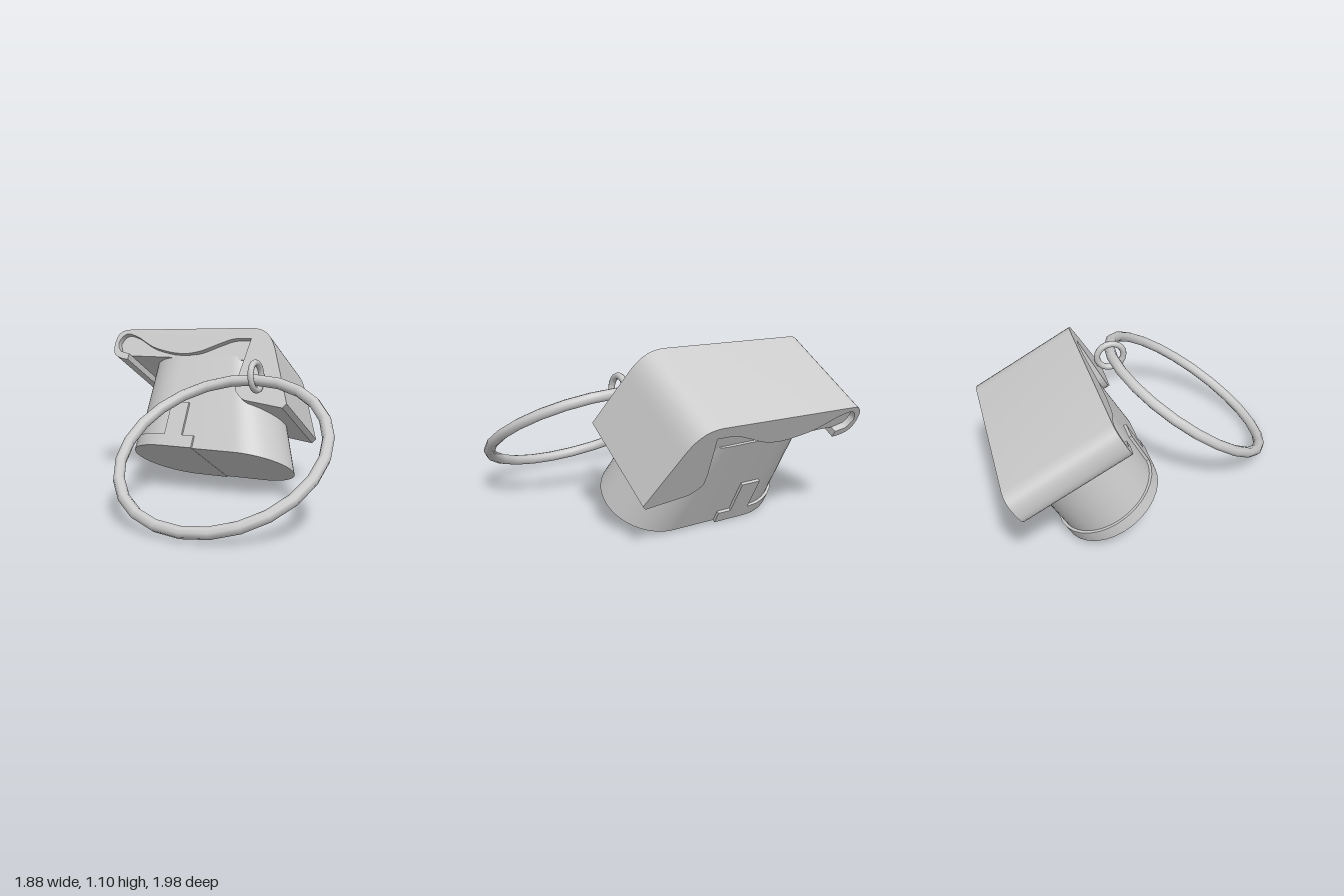
import * as THREE from 'three';
import { toCreasedNormals } from 'three/addons/utils/BufferGeometryUtils.js';

const material = new THREE.MeshStandardMaterial({ color: 0xcccccc });

function addMesh(parent, name, geometry) {
  const mesh = new THREE.Mesh(geometry, material);
  mesh.name = name;
  parent.add(mesh);
  return mesh;
}

// Extrude a front profile (x, y) between two depths
function extrudeZ(shape, z0, z1, segments = 8) {
  const g = new THREE.ExtrudeGeometry(shape, { depth: z1 - z0, bevelEnabled: false, curveSegments: segments });
  return toCreasedNormals(g.translate(0, 0, z0), 0.7);
}

// Extrude a plan outline upwards
function extrudeUp(shape, y0, y1, segments) {
  const g = new THREE.ExtrudeGeometry(shape, { depth: y1 - y0, bevelEnabled: false, curveSegments: segments });
  return g.rotateX(-Math.PI / 2).translate(0, y0, 0);
}

const MID = 0.333; // half the depth of the body

// Capped outline: round left end, round or square right end
function planOutline(xLeft, xRight, r, roundRight) {
  const s = new THREE.Shape();
  s.moveTo(xLeft, MID - r);
  s.lineTo(xRight, MID - r);
  if (roundRight) s.absarc(xRight, MID, r, -Math.PI / 2, Math.PI / 2, false);
  else s.lineTo(xRight, MID + r);
  s.lineTo(xLeft, MID + r);
  s.absarc(xLeft, MID, r, Math.PI / 2, Math.PI * 1.5, false);
  return s;
}

export function createModel() {
  const model = new THREE.Group();
  model.name = 'ringClip';

  const caseGroup = new THREE.Group();
  caseGroup.name = 'tiltedCase';
  caseGroup.position.set(0, 0.32, 0.01);
  caseGroup.rotation.x = -0.496;
  model.add(caseGroup);

  // Oval body, its right end leaning inwards towards the top
  const body = extrudeUp(planOutline(-0.38, 0.145, 0.315, true), 0.002, 0.68, 14);
  const p = body.attributes.position;
  for (let i = 0; i < p.count; i++) {
    const x = p.getX(i);
    p.setX(i, x - 0.36 * p.getY(i) * Math.max(0, (x + 0.38) / 0.84));
  }
  addMesh(caseGroup, 'body', toCreasedNormals(body, 0.6));

  // Raised rim round the left half of the base
  addMesh(caseGroup, 'baseRim',
    toCreasedNormals(extrudeUp(planOutline(-0.38, -0.15, 0.333, false), 0, 0.085, 8), 0.6));

  // Upright tabs at front and back
  for (const [name, z] of [['frontTab', -0.012], ['backTab', -0.654]]) {
    addMesh(caseGroup, name, new THREE.BoxGeometry(0.13, 0.32, 0.024).translate(-0.305, 0.16, z));
  }

  // Recessed filling under the cover
  const fill = new THREE.Shape();
  fill.moveTo(-0.8, 0.657);
  fill.lineTo(0.2, 0.657);
  fill.lineTo(0.2, 0.83);
  fill.lineTo(-0.88, 0.825);
  fill.lineTo(-0.91, 0.74);
  fill.lineTo(-0.88, 0.68);
  addMesh(caseGroup, 'innerBlock', extrudeZ(fill, -0.635, -0.025));

  // Cover: curled left edge, wavy underside and a sloping flap on the right
  const c = new THREE.Shape();
  c.moveTo(-0.8, 0.612);
  c.lineTo(-0.8, 0.657);
  c.lineTo(-0.87, 0.672);
  c.quadraticCurveTo(-0.905, 0.7, -0.91, 0.74);
  c.quadraticCurveTo(-0.89, 0.82, -0.83, 0.812);
  c.splineThru([
    [-0.75, 0.785], [-0.6, 0.71], [-0.4, 0.672], [-0.25, 0.69], [-0.1, 0.755], [0, 0.793], [0.125, 0.8],
  ].map(([x, y]) => new THREE.Vector2(x, y)));
  c.lineTo(0.085, 0.5);
  c.lineTo(0.085, 0.425);
  c.quadraticCurveTo(0.12, 0.37, 0.17, 0.352);
  c.lineTo(0.44, 0.315);
  c.lineTo(0.465, 0.345);
  c.lineTo(0.325, 0.69);
  c.bezierCurveTo(0.28, 0.81, 0.23, 0.88, 0.11, 0.878);
  c.lineTo(-0.85, 0.846);
  c.bezierCurveTo(-0.92, 0.84, -0.94, 0.8, -0.94, 0.73);
  c.bezierCurveTo(-0.94, 0.65, -0.91, 0.62, -0.8, 0.612);
  addMesh(caseGroup, 'cover', extrudeZ(c, -0.675, 0.015));

  // Small link joining the flap and the large ring
  const link = addMesh(model, 'smallLink', new THREE.TorusGeometry(0.09, 0.021, 8, 20));
  link.position.set(0.265, 0.8, -0.11);
  link.rotation.set(0, Math.PI / 2, 0.09, 'ZYX');

  // Large hanging ring
  const ring = addMesh(model, 'largeRing', new THREE.TorusGeometry(0.634, 0.036, 8, 24));
  ring.position.set(0.27, 0.415, 0.425);
  ring.rotation.x = -0.96;

  return model;
}
